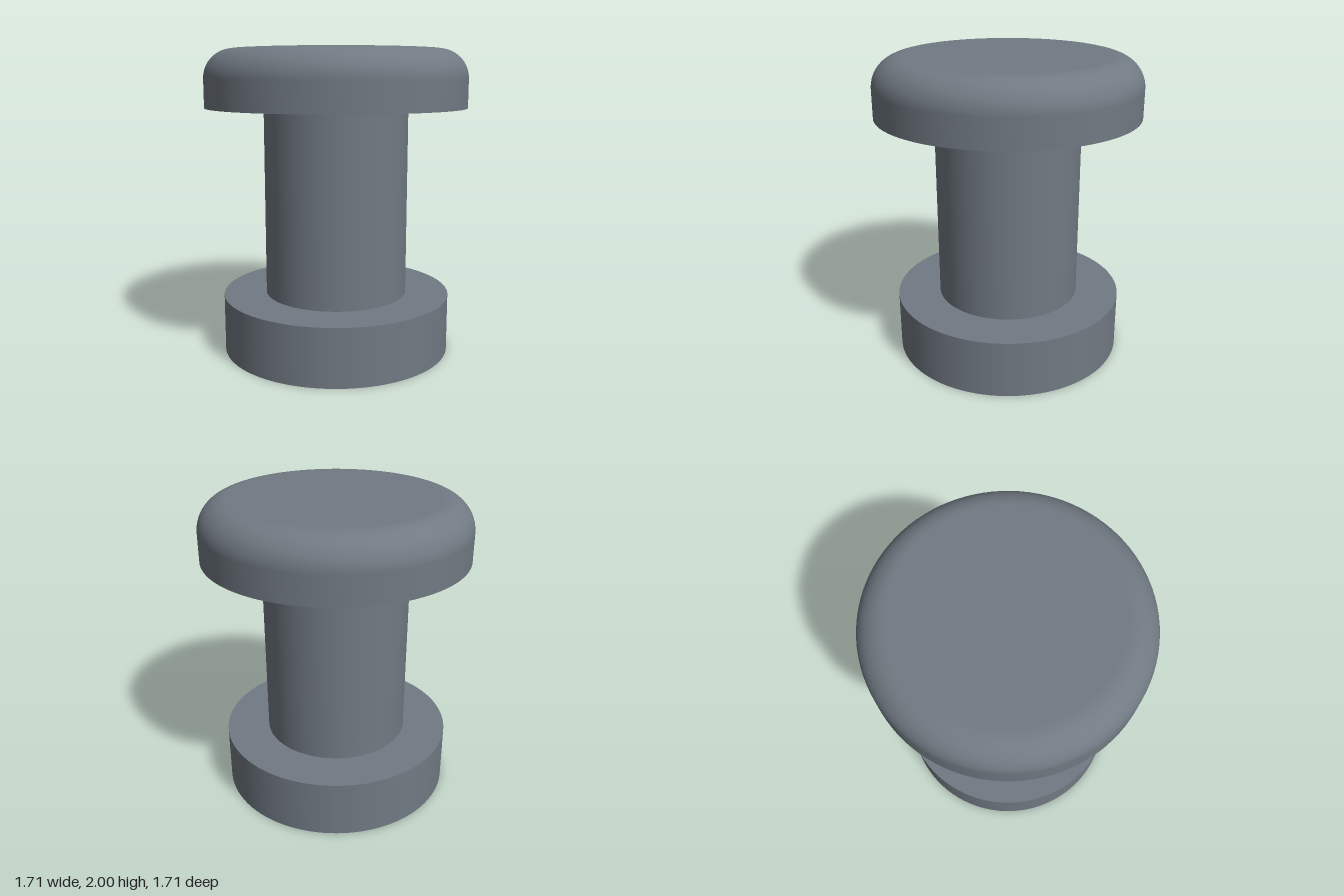
import * as THREE from 'three';

const SIDES = 96;

export function createModel() {
  const group = new THREE.Group();
  const steel = new THREE.MeshStandardMaterial({ color: 0x717a83 });
  steel.name = 'slate grey steel';

  const add = (name, geometry, y = 0) => {
    const mesh = new THREE.Mesh(geometry, steel);
    mesh.name = name;
    mesh.position.y = y;
    group.add(mesh);
    return mesh;
  };

  // Flat disc foot
  add('base', new THREE.CylinderGeometry(0.76, 0.76, 0.38, SIDES), 0.19);

  // Plain stem between foot and head
  add('stem', new THREE.CylinderGeometry(0.475, 0.475, 1.245, SIDES, 1, true), 1.0025);

  // Head: straight wall, quarter-round shoulder, flat top
  const radius = 0.855, bottom = 1.625, fillet = 0.19, steps = 16;
  const profile = [new THREE.Vector2(radius, bottom)];
  for (let i = 0; i <= steps; i++) {
    const a = (i / steps) * Math.PI / 2;
    profile.push(new THREE.Vector2(
      radius - fillet + fillet * Math.cos(a),
      2 - fillet + fillet * Math.sin(a)
    ));
  }
  // Extra ring keeps the top shading flat
  profile.push(new THREE.Vector2(radius - fillet - 0.01, 2), new THREE.Vector2(0, 2));
  add('head', new THREE.LatheGeometry(profile, SIDES));

  // Underside of the head
  const underside = new THREE.RingGeometry(0.475, radius, SIDES);
  underside.rotateX(Math.PI / 2);
  add('headUnderside', underside, bottom);

  return group;
}
